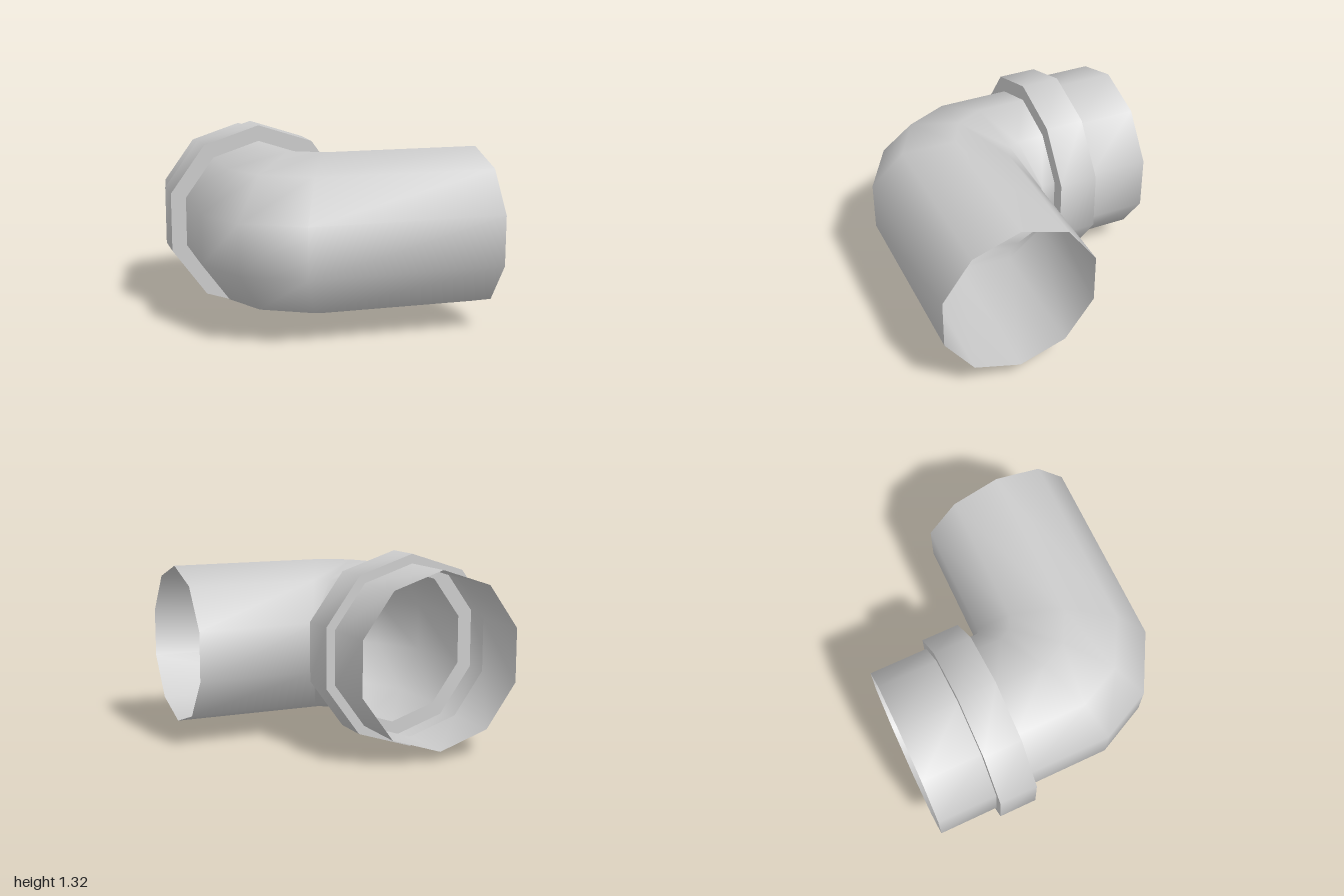
import * as THREE from 'three';

const SIDES = 10;
const AXIS_X = -0.37, AXIS_Y = 0.665;
const WIDE = Math.sin(Math.PI * 0.4); // half width of a decagon standing on a corner

const material = new THREE.MeshStandardMaterial({ color: 0xcccccc, side: THREE.DoubleSide });

// Smooth skin through decagon sections, each { outer: [x, z], inner: [x, z], r }
function loft(name, sections) {
  const pos = [], index = [];
  sections.forEach(({ outer, inner, r }, j) => {
    for (let k = 0; k < SIDES; k++) {
      const a = (k / SIDES) * Math.PI * 2;
      const t = 0.5 + 0.5 * Math.sin(a) / WIDE;
      pos.push(
        THREE.MathUtils.lerp(inner[0], outer[0], t),
        AXIS_Y + r * Math.cos(a),
        THREE.MathUtils.lerp(inner[1], outer[1], t)
      );
      if (j + 1 < sections.length) {
        const p = j * SIDES + k, q = j * SIDES + (k + 1) % SIDES;
        index.push(p, q, p + SIDES, q, q + SIDES, p + SIDES);
      }
    }
  });
  const geometry = new THREE.BufferGeometry();
  geometry.setAttribute('position', new THREE.Float32BufferAttribute(pos, 3));
  geometry.setIndex(index);
  geometry.computeVertexNormals();
  const mesh = new THREE.Mesh(geometry, material);
  mesh.name = name;
  return mesh;
}

// Upright section across the socket axis
const ring = (r, z) => ({ outer: [AXIS_X - r * WIDE, z], inner: [AXIS_X + r * WIDE, z], r });

export function createModel() {
  const group = new THREE.Group();
  group.name = 'pipeElbow';
  const R = 0.55, COLLAR = 0.66, SLEEVE = 0.595;
  const BACK = -0.925, STEP = -0.51, FRONT = -0.245;

  // Socket end: open sleeve, collar and the flat steps between them
  group.add(
    loft('sleeve', [ring(SLEEVE, BACK), ring(SLEEVE, STEP)]),
    loft('collarBackStep', [ring(SLEEVE, STEP), ring(COLLAR, STEP)]),
    loft('collar', [ring(COLLAR, STEP), ring(COLLAR, FRONT)]),
    loft('collarFrontStep', [ring(COLLAR, FRONT), ring(R, FRONT)])
  );

  // Bend with a tight inner corner, running out into the straight pipe
  group.add(loft('elbowPipe', [
    ring(R, FRONT),
    { outer: [-0.893, 0.34], inner: [0.153, -0.15], r: R },
    { outer: [-0.72, 0.695], inner: [0.16, -0.138], r: R },
    { outer: [-0.33, 0.912], inner: [0.185, -0.13], r: R },
    { outer: [1, 0.922], inner: [0.995, -0.124], r: R }
  ]));
  return group;
}
